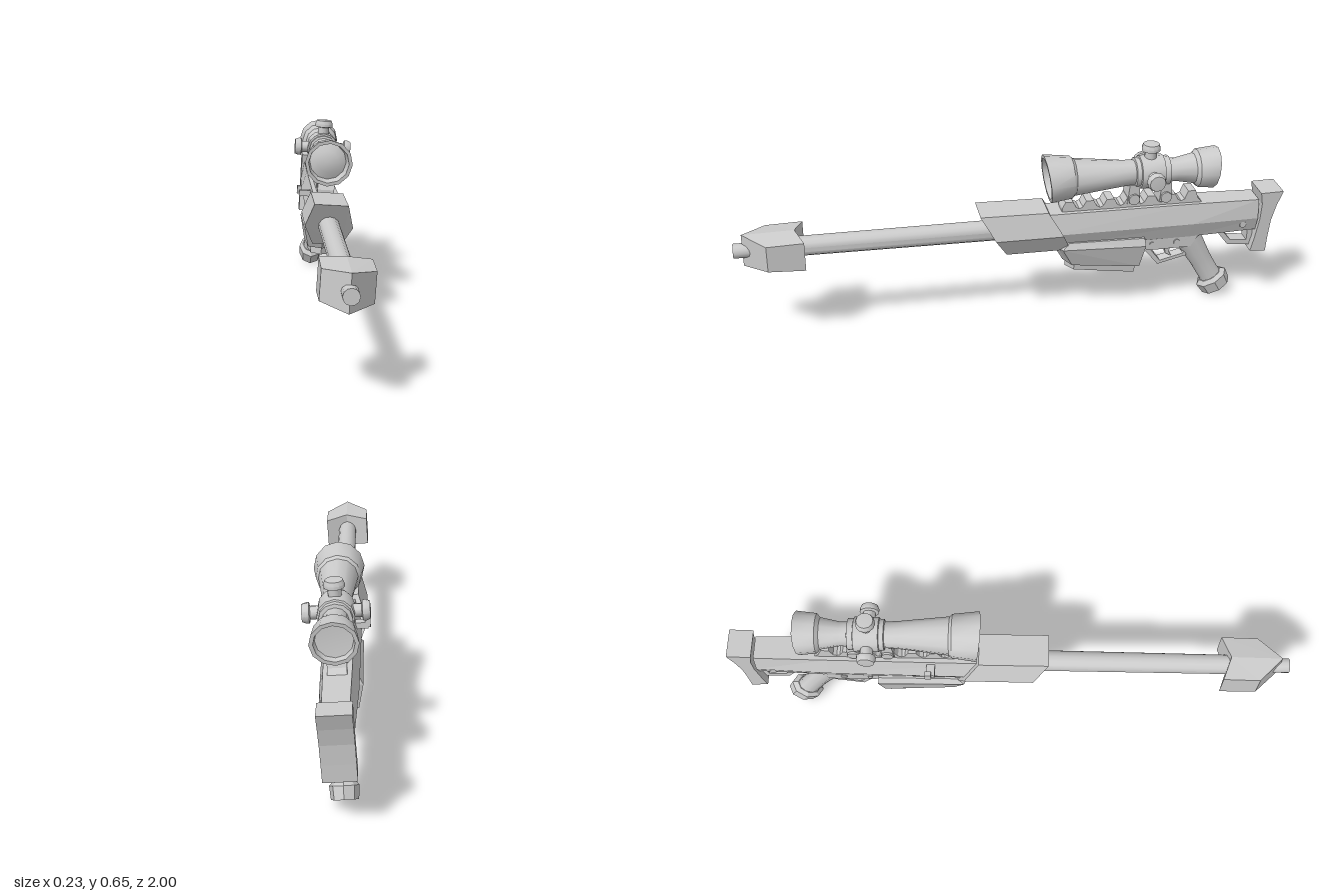
import * as THREE from 'three';
import { toCreasedNormals } from 'three/addons/utils/BufferGeometryUtils.js';

const flat = new THREE.MeshStandardMaterial({ color: 0xcccccc, flatShading: true, side: THREE.DoubleSide });
const smooth = new THREE.MeshStandardMaterial({ color: 0xcccccc, side: THREE.DoubleSide });

// Skin joining equal-sized rings of [x, y, z] points, closed at both ends.
function loft(rings) {
  const pos = [];
  const tri = (...pts) => pts.forEach((p) => pos.push(...p));
  const n = rings[0].length;
  for (let i = 0; i < rings.length - 1; i++) {
    for (let j = 0; j < n; j++) {
      const k = (j + 1) % n, r = rings[i], s = rings[i + 1];
      tri(r[j], s[j], s[k]);
      tri(r[j], s[k], r[k]);
    }
  }
  const first = rings[0], last = rings[rings.length - 1];
  for (let j = 1; j < n - 1; j++) {
    tri(first[0], first[j], first[j + 1]);
    tri(last[0], last[j + 1], last[j]);
  }
  const g = new THREE.BufferGeometry();
  g.setAttribute('position', new THREE.Float32BufferAttribute(pos, 3));
  g.computeVertexNormals();
  return g;
}

// Side outline of [z, y] points given a width across x.
function slab(points, width, hole) {
  const shape = new THREE.Shape(points.map((p) => new THREE.Vector2(...p)));
  if (hole) shape.holes.push(new THREE.Path(hole.map((p) => new THREE.Vector2(...p))));
  const g = new THREE.ExtrudeGeometry(shape, { depth: width, bevelEnabled: false });
  return g.rotateY(-Math.PI / 2).translate(width / 2, 0, 0);
}

// Turned part along z from [radius, z] points.
function turned(points, sides) {
  const g = new THREE.LatheGeometry(points.map((p) => new THREE.Vector2(...p)), sides);
  return g.rotateX(Math.PI / 2);
}

// Six-sided body section: bottom, middle and top as [halfWidth, y, z].
function hexRing([bw, by, bz], [mw, my, mz], [tw, ty, tz]) {
  return [[bw, by, bz], [mw, my, mz], [tw, ty, tz], [-tw, ty, tz], [-mw, my, mz], [-bw, by, bz]];
}

export function createModel() {
  const model = new THREE.Group();
  model.name = 'scopedRifle';
  const body = new THREE.Group();
  body.name = 'rifleBody';
  body.position.y = -0.352;
  model.add(body);
  // The rifle leans and turns very slightly about its barrel.
  model.position.set(-0.015, 0.352, 0);
  model.rotation.set(0, -0.014, -0.07);

  const add = (name, geometry, material = flat, parent = body) => {
    const mesh = new THREE.Mesh(geometry, material);
    mesh.name = name;
    parent.add(mesh);
    return mesh;
  };
  const box = (name, w, h, d, x, y, z) =>
    add(name, new THREE.BoxGeometry(w, h, d).translate(x, y, z));
  const crossPin = (name, r, width, y, z) =>
    add(name, toCreasedNormals(new THREE.CylinderGeometry(r, r, width, 10).rotateZ(Math.PI / 2), 0.7), smooth)
      .position.set(0, y, z);

  // Barrel and muzzle
  const barrel = turned([[0, 0], [0.038, 0], [0.035, 0.85], [0, 0.85]], 14);
  add('barrel', toCreasedNormals(barrel, 0.7), smooth).position.set(0, 0.354, 0);
  const tip = turned([[0, 0.9], [0.026, 0.9], [0.026, 1], [0, 1]], 12);
  add('muzzleTip', toCreasedNormals(tip, 0.7), smooth).position.set(0, 0.354, 0);
  const muzzleRing = (x, back, front, h) => [
    [x, 0.353 - h, back], [x, 0.353 + h, back], [x, 0.353 + h - 0.004, front], [x, 0.353 - h + 0.006, front],
  ];
  add('muzzleBrake', loft([
    muzzleRing(0.082, 0.755, 0.885, 0.054),
    muzzleRing(0, 0.785, 0.968, 0.066),
    muzzleRing(-0.082, 0.755, 0.885, 0.054),
  ]));

  // Forend sleeve and receiver
  add('forend', loft([
    hexRing([0.052, 0.277, 0.04], [0.086, 0.35, 0.084], [0.06, 0.44, 0.137]),
    hexRing([0.052, 0.277, -0.195], [0.086, 0.35, -0.163], [0.06, 0.437, -0.11]),
  ]));
  add('receiver', loft([
    hexRing([0.044, 0.283, -0.1], [0.068, 0.347, -0.1], [0.048, 0.422, -0.1]),
    hexRing([0.042, 0.283, -0.65], [0.063, 0.345, -0.65], [0.046, 0.42, -0.65]),
    hexRing([0.036, 0.288, -0.91], [0.052, 0.342, -0.91], [0.042, 0.415, -0.91]),
  ]));
  add('triggerHousing', slab([[-0.45, 0.3], [-0.46, 0.255], [-0.5, 0.236], [-0.66, 0.238], [-0.7, 0.3]], 0.075));
  crossPin('frontPin', 0.009, 0.084, 0.262, -0.51);
  crossPin('rearPin', 0.012, 0.084, 0.262, -0.605);
  crossPin('stockScrew', 0.013, 0.1, 0.318, -0.855);

  // Charging handle on the right side
  box('handleArm', 0.05, 0.022, 0.03, -0.068, 0.4, -0.28);
  box('handleKnob', 0.018, 0.03, 0.022, -0.092, 0.41, -0.288);

  // Magazine with a pointed front and a narrower floor
  const magRing = (w, side, point, back, yf, yb) => [
    [w, yf, side], [w, yb, back], [-w, yb, back], [-w, yf, side], [0, yf, point],
  ];
  add('magazine', loft([
    magRing(0.058, -0.19, -0.165, -0.475, 0.305, 0.3),
    magRing(0.07, -0.165, -0.137, -0.478, 0.283, 0.272),
    magRing(0.05, -0.205, -0.18, -0.462, 0.208, 0.178),
  ]));
  add('magazineFloor', loft([
    magRing(0.04, -0.215, -0.188, -0.452, 0.22, 0.19),
    magRing(0.038, -0.215, -0.19, -0.445, 0.182, 0.149),
  ]));

  // Trigger and guard
  add('trigger', slab([[-0.565, 0.245], [-0.575, 0.2], [-0.6, 0.187], [-0.588, 0.205], [-0.595, 0.245]], 0.018));
  add('triggerGuard', slab(
    [[-0.475, 0.245], [-0.543, 0.163], [-0.65, 0.19], [-0.69, 0.245]], 0.04,
    [[-0.507, 0.235], [-0.551, 0.178], [-0.64, 0.201], [-0.66, 0.235]],
  ));

  // Raked pistol grip, narrower across than it is deep
  const grip = new THREE.Group();
  grip.name = 'pistolGrip';
  grip.position.set(0, 0.06, -0.777);
  grip.rotation.x = 0.53;
  grip.scale.x = 0.76;
  body.add(grip);
  const shaft = [[0.046, 0], [0.04, 0.05], [0.041, 0.12], [0.048, 0.2], [0.052, 0.25]];
  add('gripShaft', toCreasedNormals(new THREE.LatheGeometry(shaft.map((p) => new THREE.Vector2(...p)), 10), 0.7), smooth, grip);
  const cap = [[0, -0.028], [0.058, -0.028], [0.063, 0.016], [0.046, 0.03], [0, 0.03]];
  add('gripCap', new THREE.LatheGeometry(cap.map((p) => new THREE.Vector2(...p)), 8), flat, grip);

  // Stock frame and curved butt plate
  add('stockFrame', slab(
    [[-0.71, 0.3], [-0.76, 0.29], [-0.81, 0.227], [-0.905, 0.217], [-0.905, 0.3]], 0.05,
    [[-0.785, 0.287], [-0.82, 0.245], [-0.885, 0.238], [-0.885, 0.287]],
  ));
  add('buttPlate', slab([
    [-0.912, 0.445], [-0.92, 0.4], [-0.918, 0.34], [-0.905, 0.26], [-0.893, 0.205],
    [-0.953, 0.199], [-0.956, 0.26], [-0.962, 0.33], [-0.977, 0.39], [-0.998, 0.447],
  ], 0.106));

  // Toothed sight rail
  const rail = [[-0.165, 0.41]];
  const teeth = 7, pitch = 0.0765;
  for (let i = 0; i < teeth; i++) {
    const z = -0.165 - i * pitch;
    const top = i === teeth - 1 ? 0.468 : 0.459;
    rail.push([z, 0.436], [z - 0.012, top], [z - 0.04, top], [z - 0.052, 0.436]);
    if (i < teeth - 1) rail.push([z - 0.064, 0.43]);
  }
  rail.push([-0.7, 0.41]);
  add('sightRail', slab(rail, 0.062));

  // Scope clamps
  for (const z of [-0.43, -0.55]) {
    add('scopeClamp', slab([[z + 0.024, 0.435], [z + 0.018, 0.51], [z - 0.018, 0.51], [z - 0.024, 0.435]], 0.07));
    crossPin('clampBolt', 0.021, 0.086, 0.454, z);
  }

  // Scope tube, with both rims cut at a slant
  const scope = new THREE.Group();
  scope.name = 'scope';
  scope.position.y = 0.545;
  body.add(scope);
  const tube = turned([
    [0, -0.7], [0.06, -0.705], [0.064, -0.735], [0.077, -0.735], [0.07, -0.668], [0.056, -0.656],
    [0.043, -0.59], [0.043, -0.562], [0.055, -0.56], [0.055, -0.54], [0.061, -0.538], [0.061, -0.452],
    [0.055, -0.45], [0.055, -0.434], [0.046, -0.432], [0.048, -0.39], [0.068, -0.21],
    [0.077, -0.2], [0.088, -0.112], [0.075, -0.112], [0.068, -0.165], [0.04, -0.152], [0, -0.146],
  ], 12);
  const p = tube.attributes.position;
  for (let i = 0; i < p.count; i++) {
    const z = p.getZ(i);
    if (z > -0.12) p.setZ(i, z + p.getY(i) * 0.13);
    if (z < -0.72) p.setZ(i, z - p.getY(i) * 0.13);
  }
  add('scopeTube', toCreasedNormals(tube, 0.6), smooth, scope);

  // Three adjustment knobs: left, top and right
  const knob = [[0.022, 0.05], [0.022, 0.082], [0.034, 0.085], [0.034, 0.096], [0.029, 0.109], [0, 0.111]];
  for (const angle of [-Math.PI / 2, 0, Math.PI / 2]) {
    const g = new THREE.LatheGeometry(knob.map((q) => new THREE.Vector2(...q)), 12);
    const mesh = add('scopeKnob', toCreasedNormals(g, 0.6), smooth, scope);
    mesh.position.z = -0.492;
    mesh.rotation.z = angle;
  }

  const root = new THREE.Group();
  root.name = 'rifle';
  root.add(model);
  return root;
}
